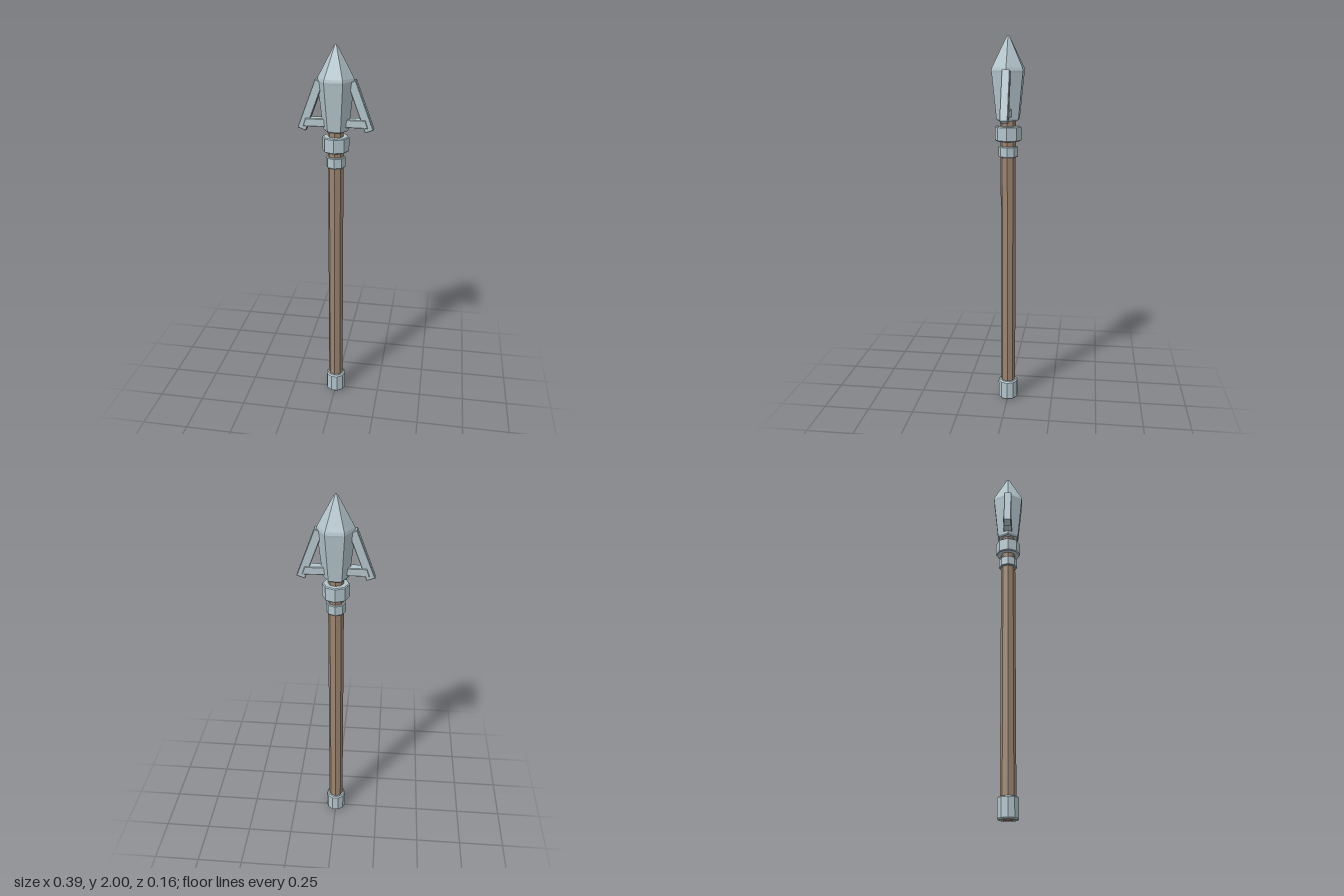
import * as THREE from 'three';

export function createModel() {
  const model = new THREE.Group();
  model.name = 'spear';
  const steel = new THREE.MeshStandardMaterial({ name: 'steel', color: 0xb3c5cc, flatShading: true });
  const wood = new THREE.MeshStandardMaterial({ name: 'wood', color: 0x9b8470, flatShading: true });

  const add = (name, geometry, material) => {
    const mesh = new THREE.Mesh(geometry, material);
    mesh.name = name;
    model.add(mesh);
    return mesh;
  };

  // Faceted solid turned around the y axis, with corners on the x axis
  const turned = (name, profile, sides, material) => add(name, new THREE.LatheGeometry(
    profile.map(([r, y]) => new THREE.Vector2(r, y)), sides, Math.PI / 2), material);

  // Bevelled ring closed onto the shaft
  const ring = (name, radius, y0, y1, sides, bevel = 0.007) => turned(name, [
    [0.034, y0], [radius - bevel, y0], [radius, y0 + bevel],
    [radius, y1 - bevel], [radius - bevel, y1], [0.034, y1],
  ], sides, steel);

  // Shaft and its fittings
  turned('shaft', [[0, 0.003], [0.04, 0.003], [0.04, 1.6], [0, 1.6]], 8, wood);
  ring('buttCap', 0.055, 0, 0.11, 10);
  ring('lowerRing', 0.051, 1.383, 1.44, 8, 0.004);
  ring('upperCollar', 0.069, 1.467, 1.545, 8, 0.005);

  // Six-sided head
  turned('head', [
    [0, 1.573], [0.058, 1.573], [0.066, 1.582], [0.092, 1.815],
    [0.094, 1.826], [0.09, 1.84], [0.009, 1.992], [0, 2],
  ], 6, steel);

  // Flat outline in x and y, given a bevelled thickness in z
  const plate = (name, points, halfDepth) => {
    const bevel = 0.003;
    const geometry = new THREE.ExtrudeGeometry(
      new THREE.Shape(points.map(([x, y]) => new THREE.Vector2(x, y))),
      { depth: 2 * (halfDepth - bevel), bevelEnabled: true, bevelSegments: 1,
        bevelThickness: bevel, bevelSize: bevel, bevelOffset: -bevel });
    geometry.translate(0, 0, bevel - halfDepth);
    return add(name, geometry, steel);
  };

  // Swept-back barbs and the struts holding them
  for (const [side, s] of [['left', 1], ['right', -1]]) {
    const mirror = (points) => points.map(([x, y]) => [s * x, y]);
    plate(side + 'Barb', mirror([[0.06, 1.816], [0.101, 1.832], [0.193, 1.587], [0.151, 1.571]]), 0.021);
    plate(side + 'Strut', mirror([[0.03, 1.595], [0.03, 1.636], [0.152, 1.636], [0.165, 1.595]]), 0.024);
  }

  return model;
}
